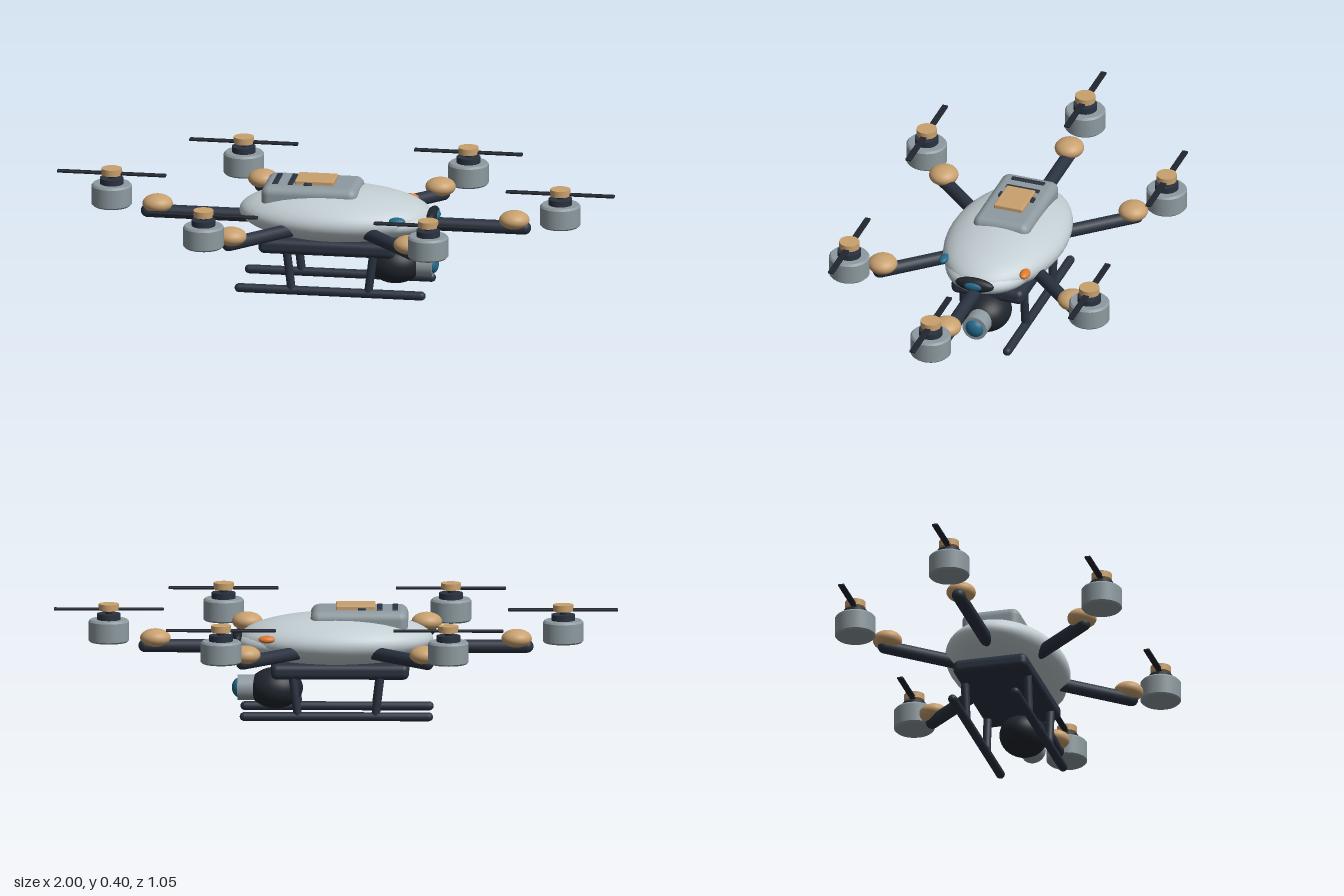
import * as THREE from 'three';
import { RoundedBoxGeometry } from 'three/addons/geometries/RoundedBoxGeometry.js';

const material = (name, color) => {
  const m = new THREE.MeshStandardMaterial({ color });
  m.name = name;
  return m;
};

export function createModel() {
  const shell = material('pale grey shell', 0xc3ced3);
  const grey = material('mid grey', 0x8d9a9f);
  const navy = material('dark navy', 0x2a3240);
  const black = material('near black', 0x20252d);
  const tan = material('tan', 0xc9a16f);
  const blue = material('lens blue', 0x23698a);
  const orange = material('signal orange', 0xdc7a2c);

  const model = new THREE.Group();
  model.name = 'surveyDrone';

  const add = (name, geometry, mat, x, y, z, parent = model) => {
    const mesh = new THREE.Mesh(geometry, mat);
    mesh.name = name;
    mesh.position.set(x, y, z);
    parent.add(mesh);
    return mesh;
  };
  const ellipsoid = (name, mat, [x, y, z], [rx, ry, rz], parent) =>
    add(name, new THREE.SphereGeometry(1, 40, 28).scale(rx, ry, rz), mat, x, y, z, parent);
  const box = (name, mat, [x, y, z], [w, h, d], r, parent) =>
    add(name, new RoundedBoxGeometry(w, h, d, 4, r), mat, x, y, z, parent);
  // Round-ended rod between two points
  const rod = (name, mat, from, to, r, parent) => {
    const a = new THREE.Vector3(...from), b = new THREE.Vector3(...to);
    const dir = b.clone().sub(a);
    const mid = a.add(b).multiplyScalar(0.5);
    const mesh = add(name, new THREE.CapsuleGeometry(r, dir.length() - 2 * r, 6, 20), mat, mid.x, mid.y, mid.z, parent);
    mesh.quaternion.setFromUnitVectors(new THREE.Vector3(0, 1, 0), dir.normalize());
    return mesh;
  };
  const disc = (name, mat, y0, y1, r, parent) =>
    add(name, new THREE.CylinderGeometry(r, r, y1 - y0, 32), mat, 0, (y0 + y1) / 2, 0, parent);

  // Fuselage and nose
  ellipsoid('bodyShell', shell, [0, 0.28, 0], [0.345, 0.093, 0.211]);
  ellipsoid('noseShell', shell, [0.175, 0.27, 0], [0.18, 0.062, 0.16]);
  ellipsoid('noseVisor', black, [0.348, 0.285, 0], [0.022, 0.026, 0.072]);
  ellipsoid('noseLens', blue, [0.362, 0.285, 0], [0.013, 0.016, 0.036]);

  // Battery hatch on the back
  box('batteryHatch', grey, [-0.083, 0.345, 0], [0.345, 0.09, 0.212], 0.03);
  box('hatchStrap', navy, [-0.092, 0.392, 0], [0.028, 0.012, 0.134], 0.004);
  box('hatchPlate', tan, [-0.07, 0.395, 0], [0.14, 0.02, 0.108], 0.005);
  for (const x of [-0.21, -0.155]) box('ventSlot', navy, [x, 0.39, 0], [0.02, 0.008, 0.125], 0.003);

  // Side lights
  for (const [side, mat] of [[1, blue], [-1, orange]]) {
    const light = ellipsoid('sideLight', mat, [0.243, 0.3, side * 0.152], [0.03, 0.013, 0.018]);
    light.rotation.x = side * 0.25;
  }

  // Six arms, each with a joint, a motor and a propeller
  const mounts = [[1, 0], [-1, 0], [1, 1], [1, -1], [-1, 1], [-1, -1]];
  for (const [sx, sz] of mounts) {
    const at = (straight, dx, dz, y) => (sz === 0 ? [sx * straight, y, 0] : [sx * dx, y, sz * dz]);
    rod('arm', navy, at(0.13, 0.12, 0.135, 0.252), at(0.7, 0.343, 0.383, 0.252), 0.024);
    ellipsoid('armJoint', tan, at(0.64, 0.318, 0.357, 0.28), [0.054, 0.033, 0.052]);

    const rotor = new THREE.Group();
    rotor.name = 'rotor';
    rotor.position.set(...at(0.805, 0.403, 0.452, 0));
    model.add(rotor);
    const profile = [[0, 0.266], [0.066, 0.266], [0.072, 0.272], [0.072, 0.339], [0.066, 0.346], [0, 0.346]];
    // Each profile segment is turned separately to keep the rims crisp
    for (let i = 1; i < profile.length; i++) {
      const points = [profile[i - 1], profile[i]].map(p => new THREE.Vector2(...p));
      add('motorHousing', new THREE.LatheGeometry(points, 32), grey, 0, 0, 0, rotor);
    }
    disc('motorCollar', navy, 0.345, 0.367, 0.042, rotor);
    disc('motorShaft', black, 0.366, 0.382, 0.012, rotor);
    disc('rotorCap', tan, 0.379, 0.402, 0.036, rotor);
    box('propeller', black, [0, 0.383, 0], [0.39, 0.009, 0.022], 0.003, rotor);
  }

  // Belly tray and landing skids
  box('bellyTray', navy, [-0.015, 0.178, 0], [0.49, 0.056, 0.272], 0.022);
  for (const z of [-0.115, 0.115]) {
    rod('skid', navy, [-0.345, 0.017, z], [0.34, 0.017, z], 0.016);
    rod('frontLeg', navy, [0.157, 0.2, z], [0.133, 0.01, z], 0.015);
    rod('rearLeg', navy, [-0.163, 0.2, z], [-0.14, 0.01, z], 0.015);
  }

  // Camera ball and lens
  ellipsoid('cameraBall', black, [0.213, 0.102, 0], [0.096, 0.073, 0.085]);
  const barrel = add('lensBarrel', new THREE.CylinderGeometry(0.045, 0.045, 0.075, 32), grey, 0.312, 0.102, 0);
  barrel.rotation.z = -Math.PI / 2;
  ellipsoid('lensGlass', blue, [0.345, 0.102, 0], [0.024, 0.034, 0.034]);

  return model;
}
